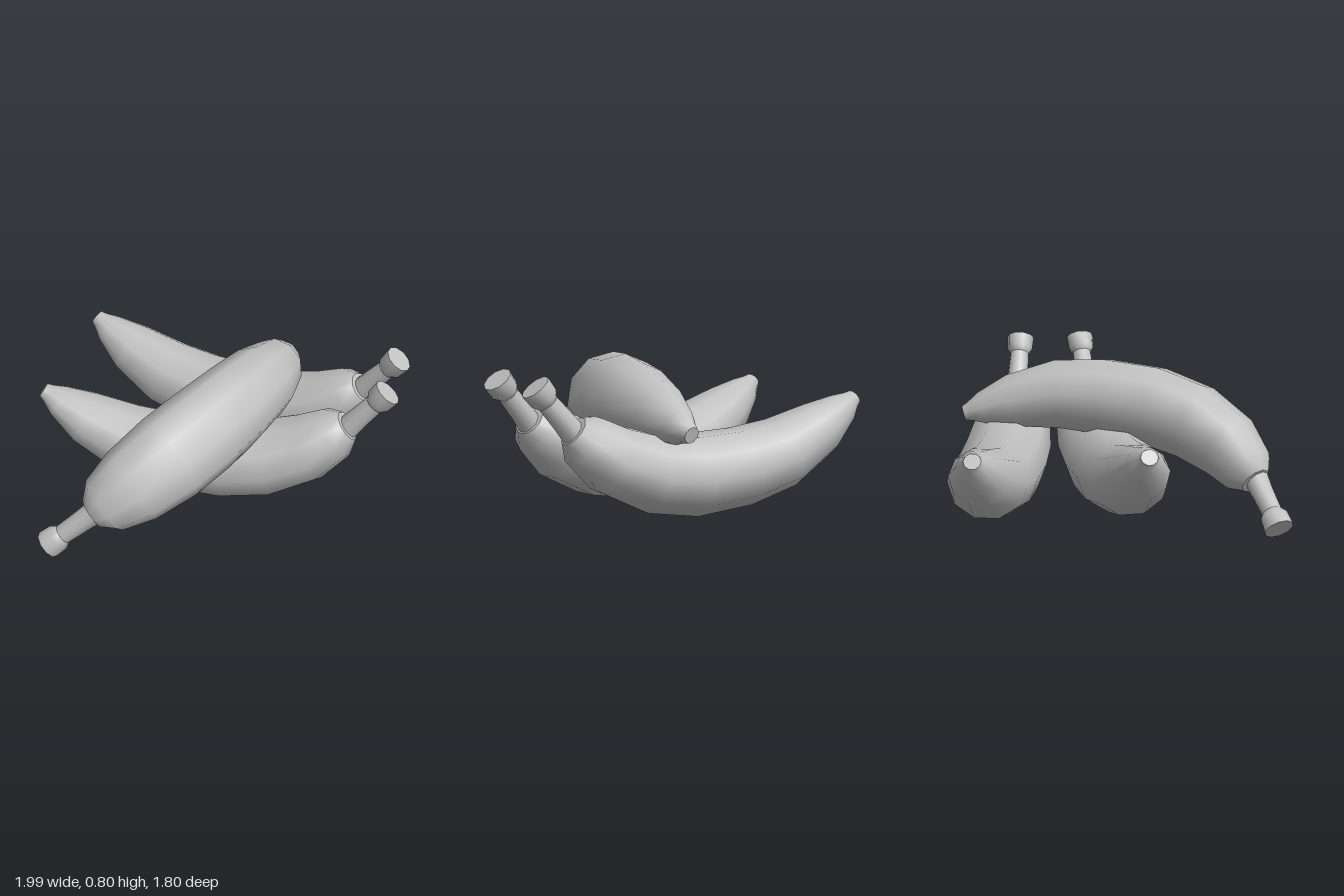
import * as THREE from 'three';

const SIDES = 10;

// Smooth tube through oval rings [x, y, radiusInPlane, radiusSideways] lying along a curve in the xy plane
function loft(rings, capStart, capEnd) {
  const pos = [], index = [];
  const addRing = (i) => {
    const first = pos.length / 3;
    const a = rings[Math.max(i - 1, 0)], b = rings[Math.min(i + 1, rings.length - 1)];
    const len = Math.hypot(b[0] - a[0], b[1] - a[1]);
    const tx = (b[0] - a[0]) / len, ty = (b[1] - a[1]) / len;
    const [x, y, r, w] = rings[i];
    for (let j = 0; j < SIDES; j++) {
      const t = ((j + 0.5) / SIDES) * Math.PI * 2;
      const up = Math.cos(t) * r;
      pos.push(x - ty * up, y + tx * up, Math.sin(t) * w);
    }
    return first;
  };
  rings.forEach((_, i) => addRing(i));
  for (let i = 0; i < rings.length - 1; i++) {
    for (let j = 0; j < SIDES; j++) {
      const k = (j + 1) % SIDES;
      const a = i * SIDES + j, b = i * SIDES + k;
      index.push(a, b, a + SIDES, b, b + SIDES, a + SIDES);
    }
  }
  // Flat caps with their own vertices keep a sharp edge
  const cap = (i, flip) => {
    const s = addRing(i);
    for (let j = 1; j < SIDES - 1; j++) {
      if (flip) index.push(s, s + j + 1, s + j);
      else index.push(s, s + j, s + j + 1);
    }
  };
  if (capStart) cap(0, true);
  if (capEnd) cap(rings.length - 1, false);
  const g = new THREE.BufferGeometry();
  g.setAttribute('position', new THREE.Float32BufferAttribute(pos, 3));
  g.setIndex(index);
  g.computeVertexNormals();
  g.translate(0.975, -0.575, 0); // origin at the blossom tip
  return g;
}

export function createModel() {
  const model = new THREE.Group();
  model.name = 'bananas';
  const grey = new THREE.MeshStandardMaterial({ color: 0xc0c0c0 });
  grey.name = 'grey';

  // Curved fruit, from blossom tip to stem
  const body = loft([
    [-0.975, 0.575, 0.042, 0.045],
    [-0.945, 0.555, 0.055, 0.06],
    [-0.89, 0.515, 0.09, 0.1],
    [-0.74, 0.42, 0.15, 0.165],
    [-0.5, 0.305, 0.195, 0.215],
    [-0.25, 0.25, 0.212, 0.235],
    [0.05, 0.23, 0.22, 0.247],
    [0.3, 0.262, 0.21, 0.247],
    [0.53, 0.355, 0.185, 0.22],
    [0.675, 0.465, 0.145, 0.165],
    [0.735, 0.515, 0.085, 0.09],
  ], true, true);

  // Slim stem
  const stem = loft([
    [0.71, 0.47, 0.068, 0.068],
    [0.79, 0.57, 0.06, 0.06],
    [0.885, 0.68, 0.054, 0.054],
  ], false, false);

  // Flared cut end of the stem
  const stemEnd = loft([
    [0.873, 0.665, 0.054, 0.054],
    [0.893, 0.69, 0.075, 0.075],
    [0.94, 0.75, 0.08, 0.08],
  ], true, true);

  // Each banana: tip position, direction towards the stem, and direction of the hollow side
  const placements = [
    ['frontBanana', [-0.975, 0.575, 0.11], [0.993, 0, -0.12], [0, 1, 0]],
    ['backBanana', [-0.972, 0.575, -0.76], [0.989, 0, 0.146], [0, 1, 0]],
    ['topBanana', [0.21, 0.485, -0.82], [-0.419, -0.153, 0.898], [-0.621, -0.676, -0.41]],
  ];
  for (const [name, tip, along, hollow] of placements) {
    const banana = new THREE.Group();
    banana.name = name;
    for (const [part, geometry] of [['body', body], ['stem', stem], ['stemEnd', stemEnd]]) {
      const mesh = new THREE.Mesh(geometry, grey);
      mesh.name = part;
      banana.add(mesh);
    }
    const x = new THREE.Vector3(...along).normalize();
    const z = x.clone().cross(new THREE.Vector3(...hollow)).normalize();
    const y = z.clone().cross(x);
    banana.quaternion.setFromRotationMatrix(new THREE.Matrix4().makeBasis(x, y, z));
    banana.position.set(...tip);
    model.add(banana);
  }
  return model;
}
